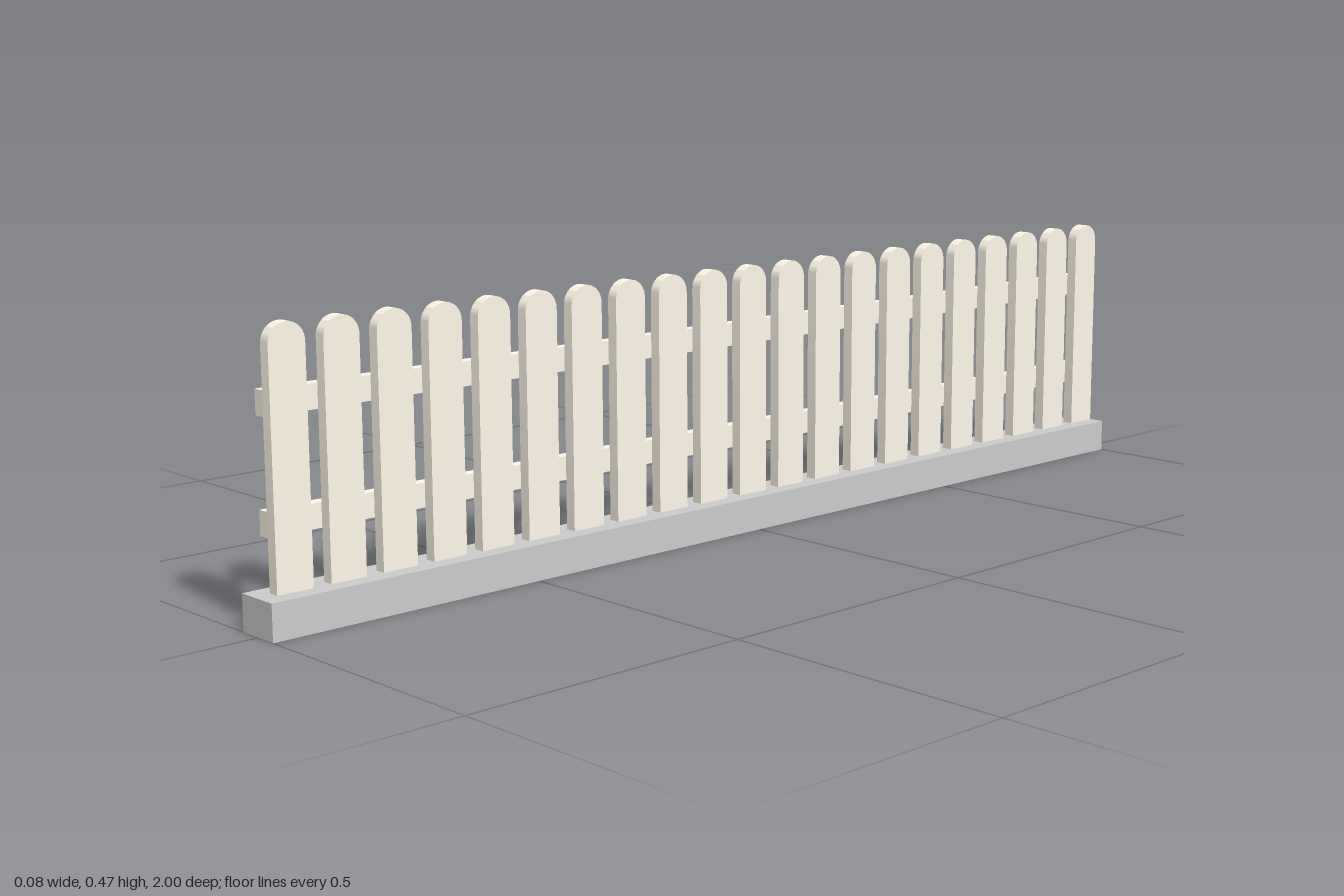
import * as THREE from 'three';
import { toCreasedNormals } from 'three/addons/utils/BufferGeometryUtils.js';

const COUNT = 21, WIDTH = 0.064, THICK = 0.02;
const BASE_TOP = 0.06, TOP = 0.467;
const Z_MIN = -0.999, Z_MAX = 0.971;

// Round-topped board, standing on the base and facing +x
function picketGeometry() {
  const r = WIDTH / 2;
  const shape = new THREE.Shape();
  shape.moveTo(-r, BASE_TOP);
  shape.lineTo(r, BASE_TOP);
  shape.lineTo(r, TOP - r);
  shape.absarc(0, TOP - r, r, 0, Math.PI, false);
  shape.closePath();
  const geo = new THREE.ExtrudeGeometry(shape, { depth: THICK, bevelEnabled: false, curveSegments: 12 });
  geo.translate(0, 0, -THICK / 2);
  geo.rotateY(Math.PI / 2);
  return toCreasedNormals(geo, 0.6);
}

export function createModel() {
  const group = new THREE.Group();
  const stone = new THREE.MeshStandardMaterial({ color: 0xcccccc });
  const wood = new THREE.MeshStandardMaterial({ color: 0xfff8e9 });

  const addBox = (name, material, size, position) => {
    const mesh = new THREE.Mesh(new THREE.BoxGeometry(...size), material);
    mesh.name = name;
    mesh.position.set(...position);
    group.add(mesh);
  };

  // Plinth
  addBox('base', stone, [0.08, BASE_TOP, 2], [0, BASE_TOP / 2, 0]);

  // Horizontal rails behind the pickets
  const length = Z_MAX - Z_MIN, middle = (Z_MAX + Z_MIN) / 2;
  addBox('lowerRail', wood, [0.02, 0.04, length], [-0.02, 0.164, middle]);
  addBox('upperRail', wood, [0.02, 0.04, length], [-0.02, 0.346, middle]);

  // Evenly spaced pickets
  const pickets = new THREE.Group();
  pickets.name = 'pickets';
  const geo = picketGeometry();
  const step = (length - WIDTH) / (COUNT - 1);
  for (let i = 0; i < COUNT; i++) {
    const picket = new THREE.Mesh(geo, wood);
    picket.name = `picket${i + 1}`;
    picket.position.z = Z_MIN + WIDTH / 2 + i * step;
    pickets.add(picket);
  }
  group.add(pickets);
  return group;
}
